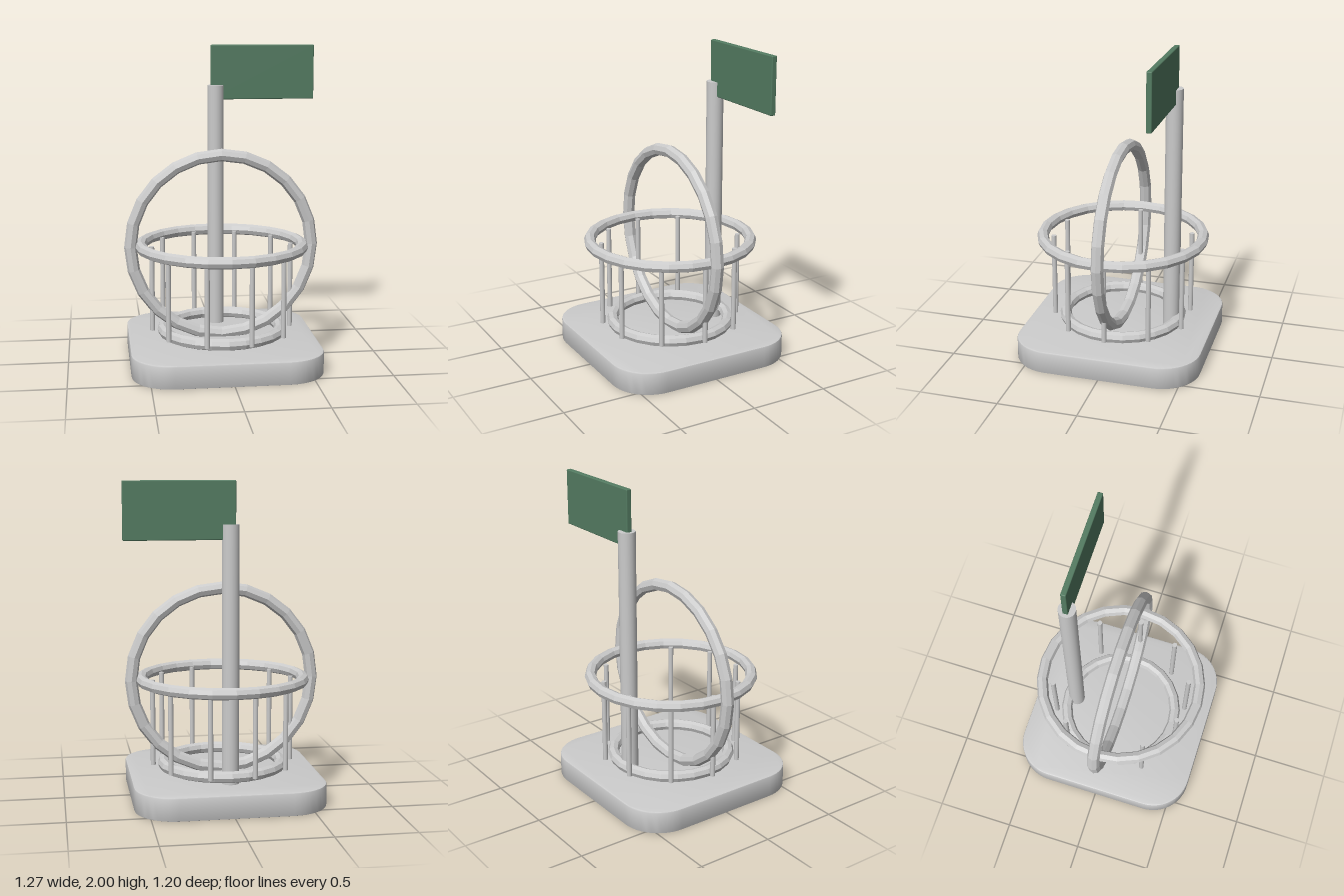
import * as THREE from 'three';
import { toCreasedNormals } from 'three/addons/utils/BufferGeometryUtils.js';
import { RoundedBoxGeometry } from 'three/addons/geometries/RoundedBoxGeometry.js';

const grey = new THREE.MeshStandardMaterial({ color: 0xcccccc });
const greyFlat = new THREE.MeshStandardMaterial({ color: 0xcccccc, flatShading: true });
const green = new THREE.MeshStandardMaterial({ color: 0x547c62 });

function part(name, geometry, material, x, y, z) {
  const mesh = new THREE.Mesh(geometry, material);
  mesh.name = name;
  mesh.position.set(x, y, z);
  return mesh;
}

function ring(name, radius, tube, y, horizontal) {
  const mesh = part(name, new THREE.TorusGeometry(radius, tube, 8, 24), greyFlat, 0, y, 0);
  if (horizontal) mesh.rotation.x = Math.PI / 2;
  return mesh;
}

// Square slab with large rounded corners and a slim bevel
function slabGeometry(half, height, corner, bevel) {
  const h = half - bevel, r = corner - bevel, c = h - r;
  const shape = new THREE.Shape();
  shape.absarc(c, c, r, 0, Math.PI / 2);
  shape.absarc(-c, c, r, Math.PI / 2, Math.PI);
  shape.absarc(-c, -c, r, Math.PI, Math.PI * 1.5);
  shape.absarc(c, -c, r, Math.PI * 1.5, Math.PI * 2);
  shape.closePath();
  const geo = new THREE.ExtrudeGeometry(shape, {
    depth: height - 2 * bevel, bevelEnabled: true, bevelSize: bevel,
    bevelThickness: bevel, bevelSegments: 2, curveSegments: 6,
  });
  geo.translate(0, 0, bevel);
  geo.rotateX(-Math.PI / 2);
  return toCreasedNormals(geo, 0.6);
}

export function createModel() {
  const model = new THREE.Group();
  model.name = 'cageWithFlag';
  const body = new THREE.Group();
  body.name = 'body';
  body.position.x = -0.0125;
  model.add(body);

  body.add(part('base', slabGeometry(0.598, 0.146, 0.25, 0.008), grey, 0, 0, 0));

  // Rings of the cage
  body.add(ring('lowerRing', 0.378, 0.037, 0.197, true));
  body.add(ring('upperRing', 0.517, 0.037, 0.745, true));
  body.add(ring('uprightRing', 0.581, 0.04, 0.743, false));

  // Thin bars in a circle
  const bars = new THREE.Group();
  bars.name = 'bars';
  const barGeo = new THREE.CylinderGeometry(0.016, 0.016, 0.55, 12);
  for (let i = 0; i < 10; i++) {
    const a = (i / 10) * Math.PI * 2;
    bars.add(part('bar', barGeo, grey, 0.446 * Math.cos(a), 0.47, 0.446 * Math.sin(a)));
  }
  body.add(bars);

  // Pole and flag at the back
  body.add(part('pole', new THREE.CylinderGeometry(0.054, 0.054, 1.62, 20), grey, 0, 0.93, -0.326));
  body.add(part('flag', new RoundedBoxGeometry(0.678, 0.353, 0.034, 2, 0.006), green, 0.308, 1.8235, -0.327));

  return model;
}
